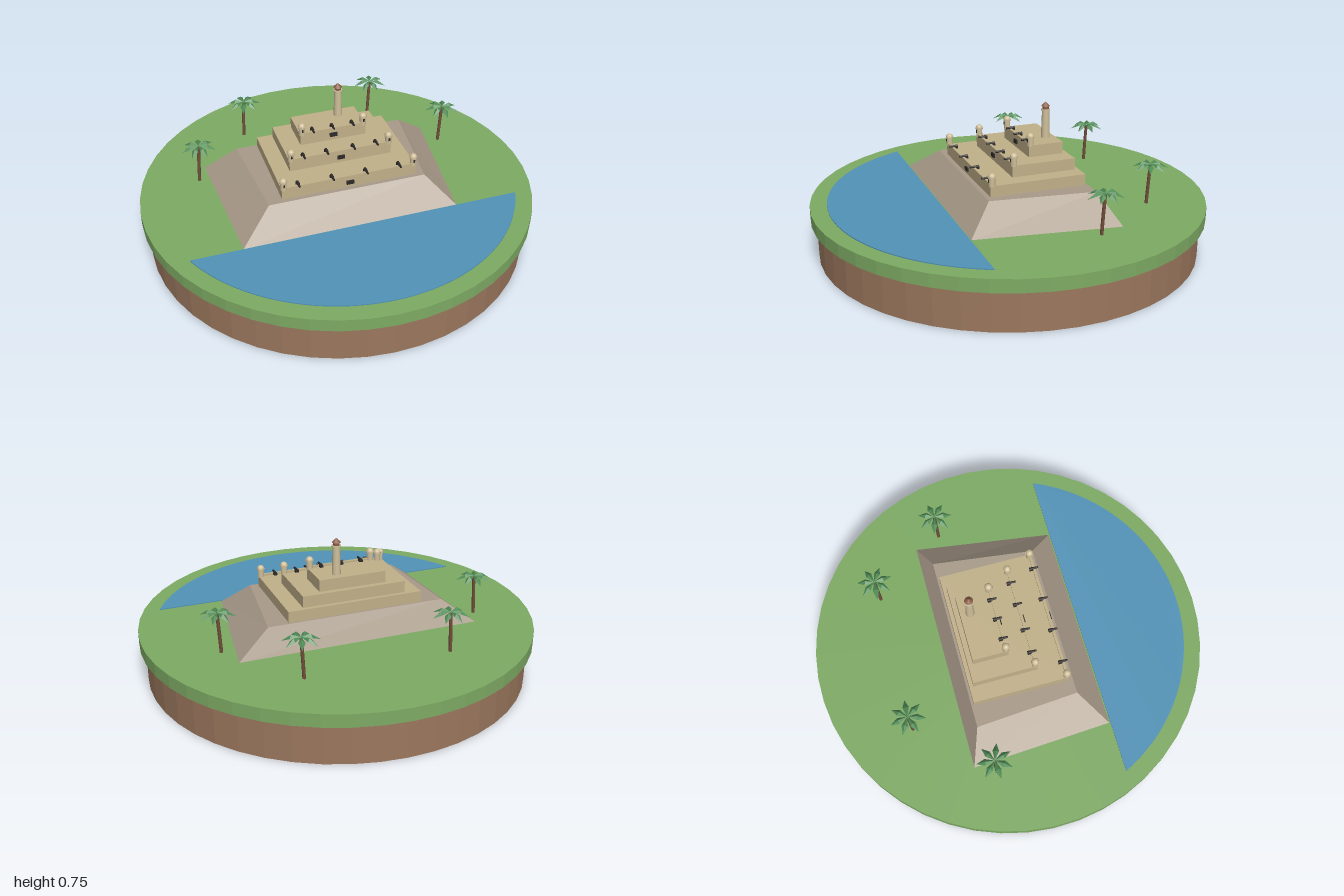
import * as THREE from 'three';

const mat = (name, color, extra = {}) =>
  Object.assign(new THREE.MeshStandardMaterial({ color, ...extra }), { name });

export function createModel() {
  const soil = mat('soil', 0x9c785e, { flatShading: true });
  const grass = mat('grass', 0x7eab64, { flatShading: true });
  const water = mat('water', 0x5293b8);
  const rock = mat('rock', 0xa99b8a, { flatShading: true });
  const stone = mat('stone', 0xc2b18a);
  const paleStone = mat('paleStone', 0xcfbf9a);
  const iron = mat('iron', 0x2e2a2a);
  const roof = mat('roof', 0x8c5f48);
  const bark = mat('bark', 0x74503c);
  const leaf = mat('leaf', 0x4f8a55, { flatShading: true, side: THREE.DoubleSide });

  const model = new THREE.Group();
  model.name = 'islandFort';
  const add = (parent, name, geometry, material, x = 0, y = 0, z = 0) => {
    const mesh = new THREE.Mesh(geometry, material);
    mesh.name = name;
    mesh.position.set(x, y, z);
    parent.add(mesh);
    return mesh;
  };
  const box = (w, h, d) => new THREE.BoxGeometry(w, h, d);
  const cyl = (top, bottom, h, n = 12) => new THREE.CylinderGeometry(top, bottom, h, n);

  // Round island
  add(model, 'soilBase', cyl(0.97, 0.97, 0.2, 48), soil, 0, 0.1, 0);
  add(model, 'grassTop', cyl(1, 1, 0.065, 48), grass, 0, 0.2325, 0);

  // Everything below is turned 20 degrees on the island
  const site = new THREE.Group();
  site.name = 'fortSite';
  site.rotation.y = -Math.PI / 9;
  model.add(site);

  // Bay: a disc segment cut by a straight shore
  const shore = Math.asin(0.375 / 0.915);
  const bay = new THREE.Shape().absarc(0, 0, 0.915, shore, Math.PI - shore, false);
  bay.closePath();
  const bayGeometry = new THREE.ExtrudeGeometry(bay, { depth: 0.006, bevelEnabled: false, curveSegments: 32 });
  bayGeometry.rotateX(Math.PI / 2);
  add(site, 'bayWater', bayGeometry, water, 0, 0.27, 0);

  // Sloping rock plinth: a box with its eight corners moved
  const rockGeometry = box(2, 2, 2);
  const p = rockGeometry.attributes.position;
  const corners = {
    bottom: { front: [-0.583, 0.513, 0.372], back: [-0.622, 0.617, -0.346] },
    top: { front: [-0.417, 0.385, 0.24], back: [-0.454, 0.451, -0.282] },
  };
  for (let i = 0; i < p.count; i++) {
    const up = p.getY(i) > 0;
    const [left, right, z] = corners[up ? 'top' : 'bottom'][p.getZ(i) > 0 ? 'front' : 'back'];
    p.setXYZ(i, p.getX(i) > 0 ? right : left, up ? 0.39 : 0.262, z);
  }
  rockGeometry.computeVertexNormals();
  add(site, 'rockPlinth', rockGeometry, rock);

  // Corner turret with a domed cap and a slit window
  const turret = (x, y, z) => {
    const group = new THREE.Group();
    group.name = 'turret';
    group.position.set(x, y, z);
    site.add(group);
    add(group, 'turretWall', cyl(0.016, 0.016, 0.046), paleStone, 0, 0.018, 0);
    add(group, 'turretEave', cyl(0.02, 0.02, 0.006), paleStone, 0, 0.04, 0);
    const dome = new THREE.SphereGeometry(0.019, 12, 6, 0, Math.PI * 2, 0, Math.PI / 2);
    add(group, 'turretDome', dome, paleStone, 0, 0.042, 0);
    add(group, 'turretSlit', box(0.008, 0.016, 0.006), iron, 0, 0.024, 0.0145);
  };

  // Three stepped terraces with parapets, guns, gates and turrets
  const tiers = [
    { half: 0.345, front: 0.217, back: -0.27, y0: 0.388, y1: 0.445, guns: [-0.26, -0.087, 0.087, 0.26] },
    { half: 0.265, front: 0.077, back: -0.25, y0: 0.445, y1: 0.503, guns: [-0.19, -0.07, 0.07, 0.19] },
    { half: 0.172, front: -0.045, back: -0.225, y0: 0.503, y1: 0.562, guns: [-0.105, 0, 0.105] },
  ];
  for (const { half, front, back, y0, y1, guns } of tiers) {
    add(site, 'terrace', box(half * 2, y1 - y0, front - back), stone, 0, (y0 + y1) / 2, (front + back) / 2);
    add(site, 'parapet', box(half * 2, 0.009, 0.014), stone, 0, y1 + 0.0045, front - 0.007);
    add(site, 'gate', box(0.038, 0.02, 0.009), iron, 0, (y0 + y1) / 2 + 0.002, front + 0.0035);
    for (const x of guns) {
      const gun = add(site, 'cannon', cyl(0.005, 0.008, 0.046, 8), iron, x, y1 + 0.012, front - 0.008);
      gun.rotation.x = Math.PI / 2;
      add(site, 'cannonCarriage', box(0.018, 0.01, 0.018), iron, x, y1 + 0.006, front - 0.022);
    }
    for (const side of [-1, 1]) turret(side * (half - 0.011), y1, front - 0.011);
  }

  // Watchtower
  const tower = new THREE.Group();
  tower.name = 'watchtower';
  tower.position.set(0.067, 0.56, -0.175);
  site.add(tower);
  add(tower, 'towerShaft', cyl(0.018, 0.022, 0.145, 16), paleStone, 0, 0.0725, 0);
  add(tower, 'towerGallery', cyl(0.023, 0.023, 0.008, 16), paleStone, 0, 0.146, 0);
  add(tower, 'towerLantern', cyl(0.016, 0.016, 0.018, 12), roof, 0, 0.158, 0);
  add(tower, 'towerRoof', new THREE.ConeGeometry(0.022, 0.022, 12), roof, 0, 0.176, 0);

  // Folded palm frond: ridge from root to tip with two drooping edges
  const frond = new THREE.BufferGeometry();
  frond.setAttribute('position', new THREE.Float32BufferAttribute([
    0, 0, 0, 0.045, 0.008, 0, 0.09, -0.024, 0, 0.048, -0.006, 0.016, 0.048, -0.006, -0.016,
  ], 3));
  frond.setIndex([0, 3, 1, 1, 3, 2, 0, 1, 4, 1, 2, 4]);
  frond.computeVertexNormals();

  const palms = [[-0.53, -0.455, 0.2], [-0.11, -0.675, 0.5], [0.577, -0.425, 0.05], [0.706, 0.03, 0.75]];
  for (const [x, z, turn] of palms) {
    const palm = new THREE.Group();
    palm.name = 'palm';
    palm.position.set(x, 0.262, z);
    model.add(palm);
    const curve = new THREE.QuadraticBezierCurve3(
      new THREE.Vector3(-0.014, 0, 0), new THREE.Vector3(-0.008, 0.11, 0), new THREE.Vector3(0, 0.208, 0));
    add(palm, 'palmTrunk', new THREE.TubeGeometry(curve, 5, 0.0085, 7), bark);
    for (let i = 0; i < 7; i++) {
      add(palm, 'palmFrond', frond, leaf, 0, 0.212, 0).rotation.y = turn + (i * Math.PI * 2) / 7;
    }
  }
  return model;
}
